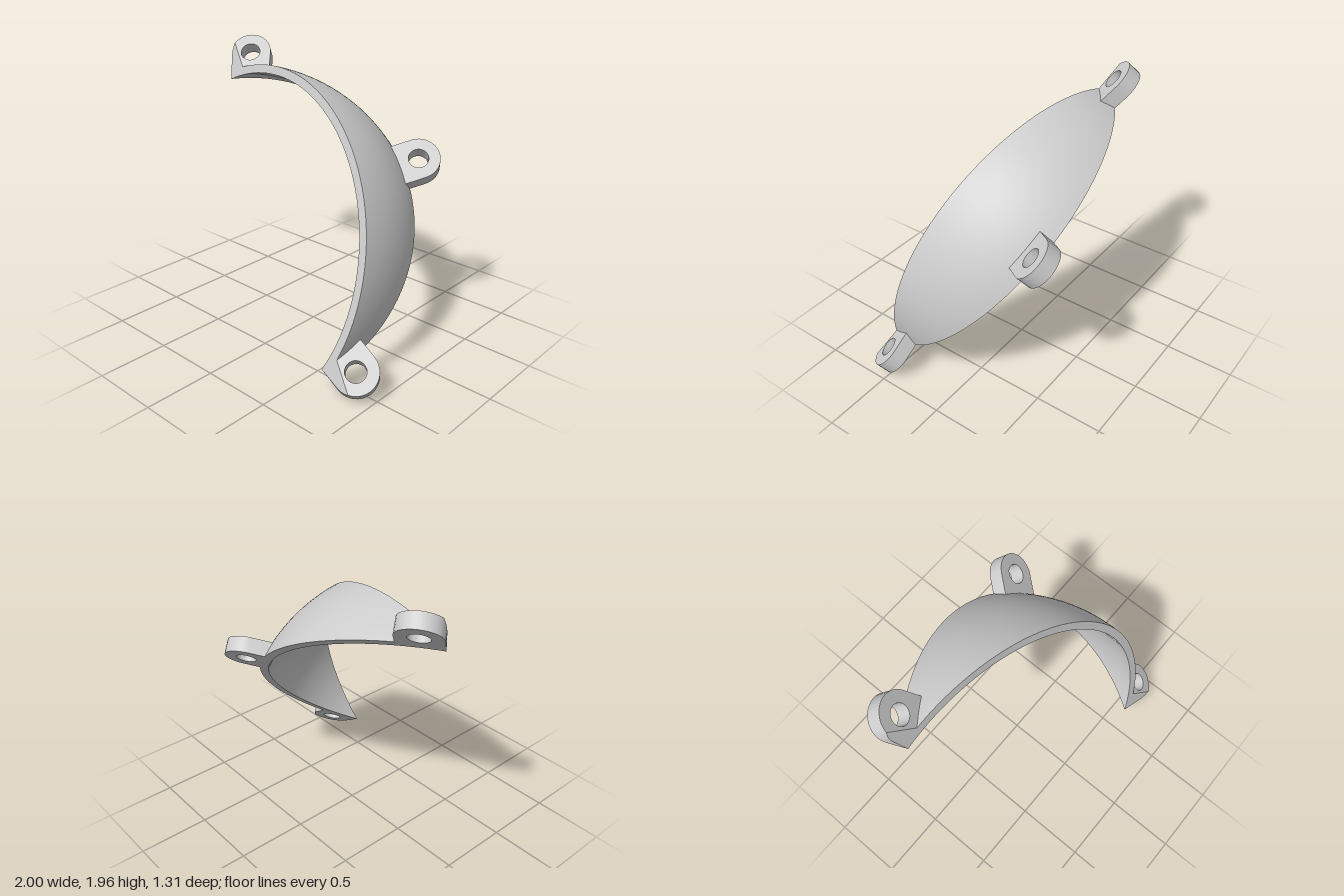
import * as THREE from 'three';
import { mergeGeometries, toCreasedNormals } from 'three/addons/utils/BufferGeometryUtils.js';

// Local frame: x = away from the tip line, y = mounting-plane normal, z = along the tip line.
const CX = -0.27, CY = -0.315;        // sphere centre
const R_OUT = 1.27, R_IN = 1.21;      // shell radii
const OPEN = Math.PI / 4;             // angle between mounting plane and front rim
const TIP = 1.137, THICK = 0.11;      // half tip distance, lug thickness
const LUG_R = 0.15, HOLE_R = 0.07;

// Point on a sphere of radius R, in the half plane at angle a, v = -1..1 from tip to tip
function shellPoint(R, a, v) {
  const s = CX * Math.cos(a) + CY * Math.sin(a);
  const q = CY * Math.cos(a) - CX * Math.sin(a);
  const rho = Math.sqrt(R * R - q * q);
  const phi = v * Math.acos(-s / rho);
  const r = Math.max(0, s + rho * Math.cos(phi));
  const limit = TIP + 2.6 * r;        // trims the outer points flush with the lugs
  const z = THREE.MathUtils.clamp(rho * Math.sin(phi), -limit, limit);
  return [r * Math.cos(a), r * Math.sin(a), z];
}

function grid(fn, nu, nv) {
  const pos = [], idx = [];
  for (let i = 0; i <= nu; i++)
    for (let j = 0; j <= nv; j++) pos.push(...fn(i / nu, (j / nv) * 2 - 1));
  for (let i = 0; i < nu; i++)
    for (let j = 0; j < nv; j++) {
      const a = i * (nv + 1) + j, b = a + nv + 1;
      idx.push(a, b, b + 1, a, b + 1, a + 1);
    }
  const g = new THREE.BufferGeometry();
  g.setAttribute('position', new THREE.Float32BufferAttribute(pos, 3));
  g.setIndex(idx);
  g.computeVertexNormals();
  return g;
}

// Keep the part of a polygon where side * (x - THICK) >= 0
function clip(pts, side) {
  const out = [];
  pts.forEach((p, i) => {
    const q = pts[(i + 1) % pts.length];
    const dp = side * (p.x - THICK), dq = side * (q.x - THICK);
    if (dp >= 0) out.push(p);
    if (dp * dq < 0) out.push(p.clone().lerp(q, dp / (dp - dq)));
  });
  return out;
}

// Extrude an outline given as (x, z) upward from the mounting plane
function slab(pts, hole) {
  const shape = new THREE.Shape(pts.map(p => new THREE.Vector2(p.x, -p.y)));
  if (hole) {
    const h = new THREE.Path();
    h.absarc(hole.x, -hole.y, HOLE_R, 0, Math.PI * 2, true);
    shape.holes.push(h);
  }
  const g = new THREE.ExtrudeGeometry(shape, { depth: THICK, bevelEnabled: false, curveSegments: 16 });
  return g.rotateX(-Math.PI / 2);
}

// Round end of a lug, facing the angle dir (measured from +x towards +z)
function roundEnd(c, dir) {
  return Array.from({ length: 17 }, (_, i) => {
    const t = dir - Math.PI / 2 + (i / 16) * Math.PI;
    return new THREE.Vector2(c.x + LUG_R * Math.cos(t), c.y + LUG_R * Math.sin(t));
  });
}

export function createModel() {
  const group = new THREE.Group();
  const mat = new THREE.MeshStandardMaterial({ color: 0xcccccc, side: THREE.DoubleSide });
  const add = (geo, name) => {
    const m = new THREE.Mesh(geo, mat);
    m.name = name;
    body.add(m);
  };
  const body = new THREE.Group();
  body.name = 'domeSegment';

  // Curved shell with its two flat edges
  const mix = (u) => R_IN + (R_OUT - R_IN) * u;
  add(mergeGeometries([
    grid((u, v) => shellPoint(R_OUT, u * OPEN, v), 12, 56),
    grid((u, v) => shellPoint(R_IN, (1 - u) * OPEN, v), 12, 56),
    grid((u, v) => shellPoint(mix(u), 0, v), 1, 56),
    grid((u, v) => shellPoint(mix(1 - u), OPEN, v), 1, 56),
  ]), 'shell');

  // Lugs at the two tips, bevelled along the front rim plane
  for (const s of [1, -1]) {
    const c = new THREE.Vector2(0.2, 1.24);
    const outline = [
      ...roundEnd(c, THREE.MathUtils.degToRad(70)),
      new THREE.Vector2(0, TIP), new THREE.Vector2(0.143, 1.097), new THREE.Vector2(0.286, 1.04),
    ].map(p => new THREE.Vector2(p.x, p.y * s));
    const main = slab(clip(outline, 1), new THREE.Vector2(c.x, c.y * s));
    const wedge = slab(clip(outline, -1));
    const p = wedge.attributes.position;
    for (let i = 0; i < p.count; i++) p.setY(i, Math.min(p.getY(i), Math.max(0, p.getX(i))));
    const lug = mergeGeometries([main, wedge]);
    add(toCreasedNormals(lug, 0.5), s > 0 ? 'lowerTipLug' : 'upperTipLug');
  }

  // Lug in the middle of the mounting edge
  const mid = new THREE.Vector2(1.065, 0);
  const midOutline = [...roundEnd(mid, 0), new THREE.Vector2(0.9, LUG_R), new THREE.Vector2(0.9, -LUG_R)];
  add(toCreasedNormals(slab(midOutline, mid), 0.5), 'middleLug');

  // Tilt into place
  const n = new THREE.Vector3(0.418, 0.688, 0.593).normalize();
  const d = new THREE.Vector3(0.676, -0.676, 0.298);
  d.addScaledVector(n, -d.dot(n)).normalize();
  const w = new THREE.Vector3().crossVectors(n, d);
  body.quaternion.setFromRotationMatrix(new THREE.Matrix4().makeBasis(w, n, d));
  body.position.set(-0.14, 0.885, 0.265);
  group.add(body);
  return group;
}
